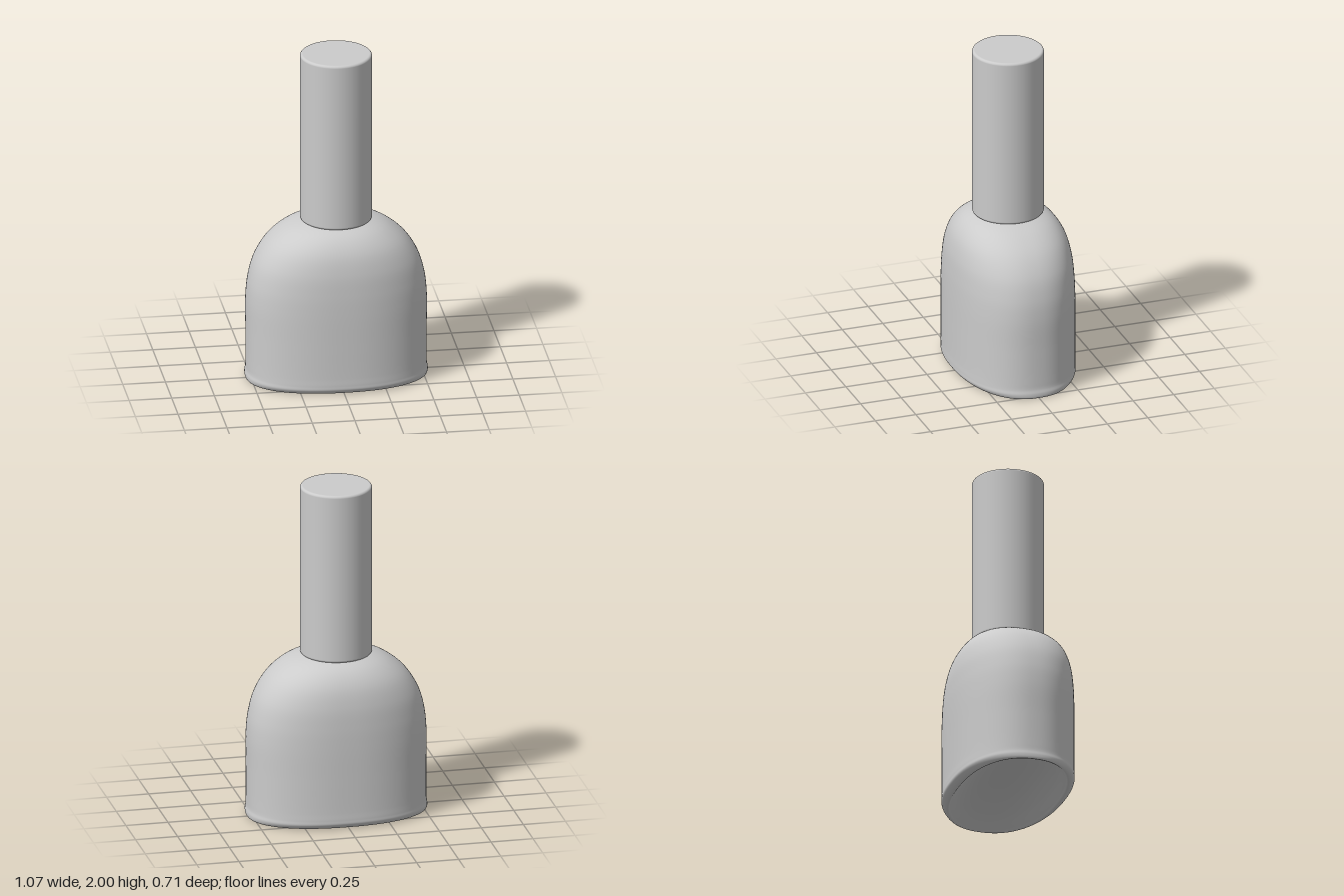
import * as THREE from 'three';

const material = new THREE.MeshStandardMaterial({ color: 0xcccccc, side: THREE.DoubleSide });

// Closed skin through oval cross-sections [y, half width x, half depth z]
function loft(sections, steps, sides, power) {
  const curve = new THREE.CatmullRomCurve3(
    sections.map(([y, a, b]) => new THREE.Vector3(a, y, b)), false, 'centripetal');
  const bend = (v) => Math.sign(v) * Math.abs(v) ** (2 / power);
  const positions = [], index = [];
  for (let i = 0; i <= steps; i++) {
    const p = curve.getPoint(i / steps);
    for (let j = 0; j < sides; j++) {
      const t = (j / sides) * Math.PI * 2;
      positions.push(p.x * bend(Math.cos(t)), p.y, p.z * bend(Math.sin(t)));
    }
  }
  for (let i = 0; i < steps; i++) {
    for (let j = 0; j < sides; j++) {
      const k = (j + 1) % sides;
      const a = i * sides + j, b = i * sides + k;
      const c = a + sides, d = b + sides;
      index.push(a, c, b, b, c, d);
    }
  }
  const geometry = new THREE.BufferGeometry();
  geometry.setAttribute('position', new THREE.Float32BufferAttribute(positions, 3));
  geometry.setIndex(index);
  geometry.computeVertexNormals();
  return geometry;
}

export function createModel() {
  const group = new THREE.Group();

  // Oval body: dished underside, rounded rim, straight wall, domed shoulder
  const body = new THREE.Mesh(loft([
    [0.165, 0.001, 0.001],
    [0.155, 0.15, 0.09],
    [0.12, 0.3, 0.178],
    [0.065, 0.425, 0.25],
    [0.015, 0.502, 0.296],
    [0.0, 0.525, 0.312],
    [0.008, 0.532, 0.332],
    [0.03, 0.533, 0.352],
    [0.055, 0.528, 0.354],
    [0.1, 0.527, 0.353],
    [0.3, 0.527, 0.353],
    [0.5, 0.527, 0.353],
    [0.62, 0.514, 0.35],
    [0.74, 0.479, 0.34],
    [0.85, 0.409, 0.312],
    [0.93, 0.312, 0.258],
    [0.973, 0.212, 0.185],
    [0.99, 0.1, 0.09],
    [0.992, 0.001, 0.001],
  ], 144, 96, 2.28), material);
  body.name = 'body';
  group.add(body);

  // Round handle with softened end edges
  const r = 0.209, e = 0.015, y0 = 0.972, y1 = 2;
  const outline = new THREE.Path();
  outline.moveTo(r - e, y0);
  outline.absarc(r - e, y0 + e, e, -Math.PI / 2, 0, false);
  outline.absarc(r - e, y1 - e, e, 0, Math.PI / 2, false);
  const handle = new THREE.Mesh(new THREE.LatheGeometry(outline.getPoints(6), 64), material);
  handle.name = 'handle';
  group.add(handle);

  // Flat ends of the handle
  for (const [name, y, turn] of [['handleTop', y1, -1], ['handleBase', y0, 1]]) {
    const cap = new THREE.Mesh(new THREE.CircleGeometry(r - e, 64), material);
    cap.rotation.x = turn * Math.PI / 2;
    cap.position.y = y;
    cap.name = name;
    group.add(cap);
  }
  return group;
}
